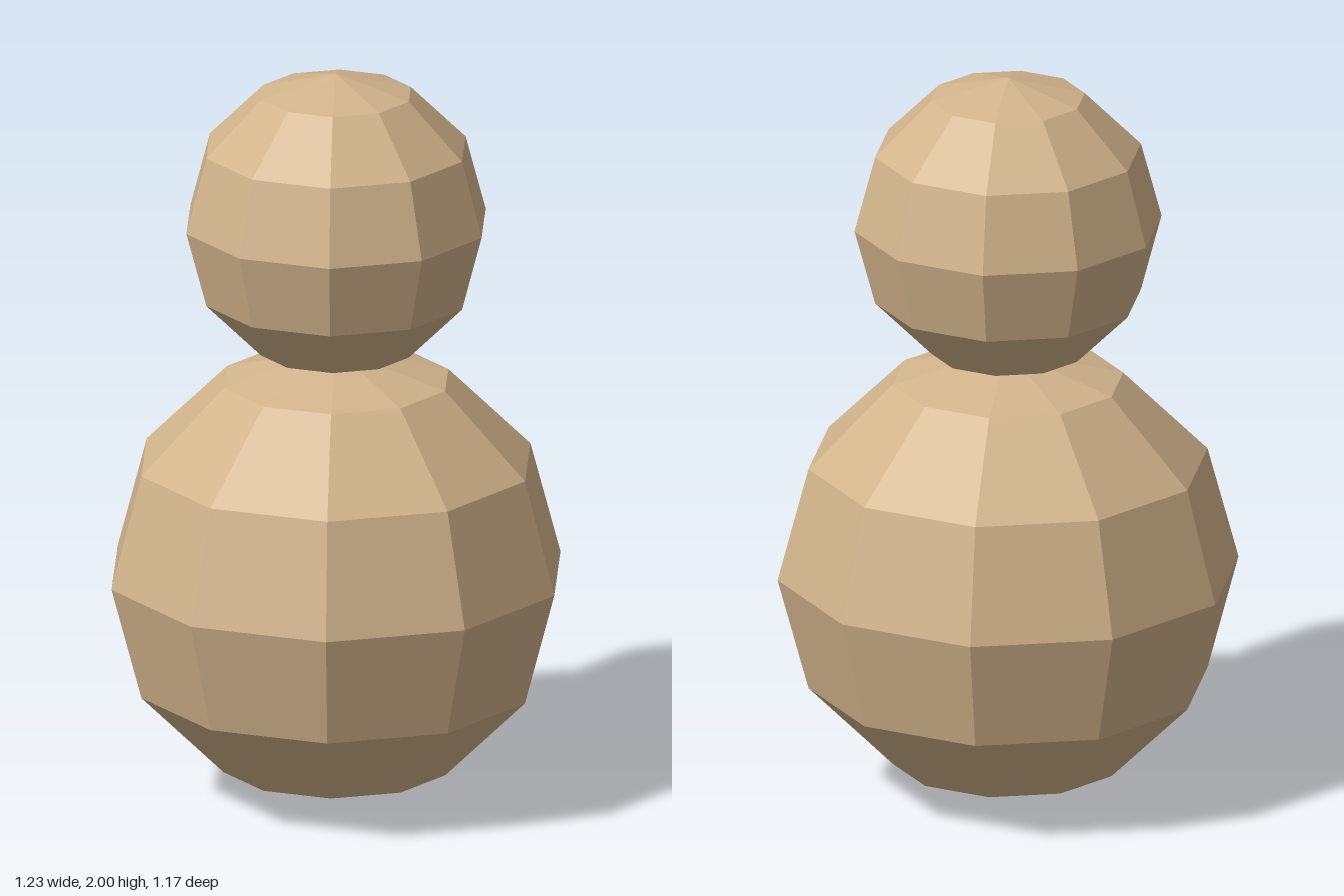
import * as THREE from 'three';

export function createModel() {
  const group = new THREE.Group();
  const material = new THREE.MeshStandardMaterial({ color: 0xd2b48c, flatShading: true });

  // Low-poly ball: 10 sides, 6 bands
  const addBall = (name, radius, y) => {
    const ball = new THREE.Mesh(new THREE.SphereGeometry(radius, 10, 6), material);
    ball.name = name;
    ball.position.y = y;
    group.add(ball);
  };

  addBall('body', 0.617, 0.617);
  addBall('head', 0.411, 1.589); // sinks slightly into the body

  return group;
}
